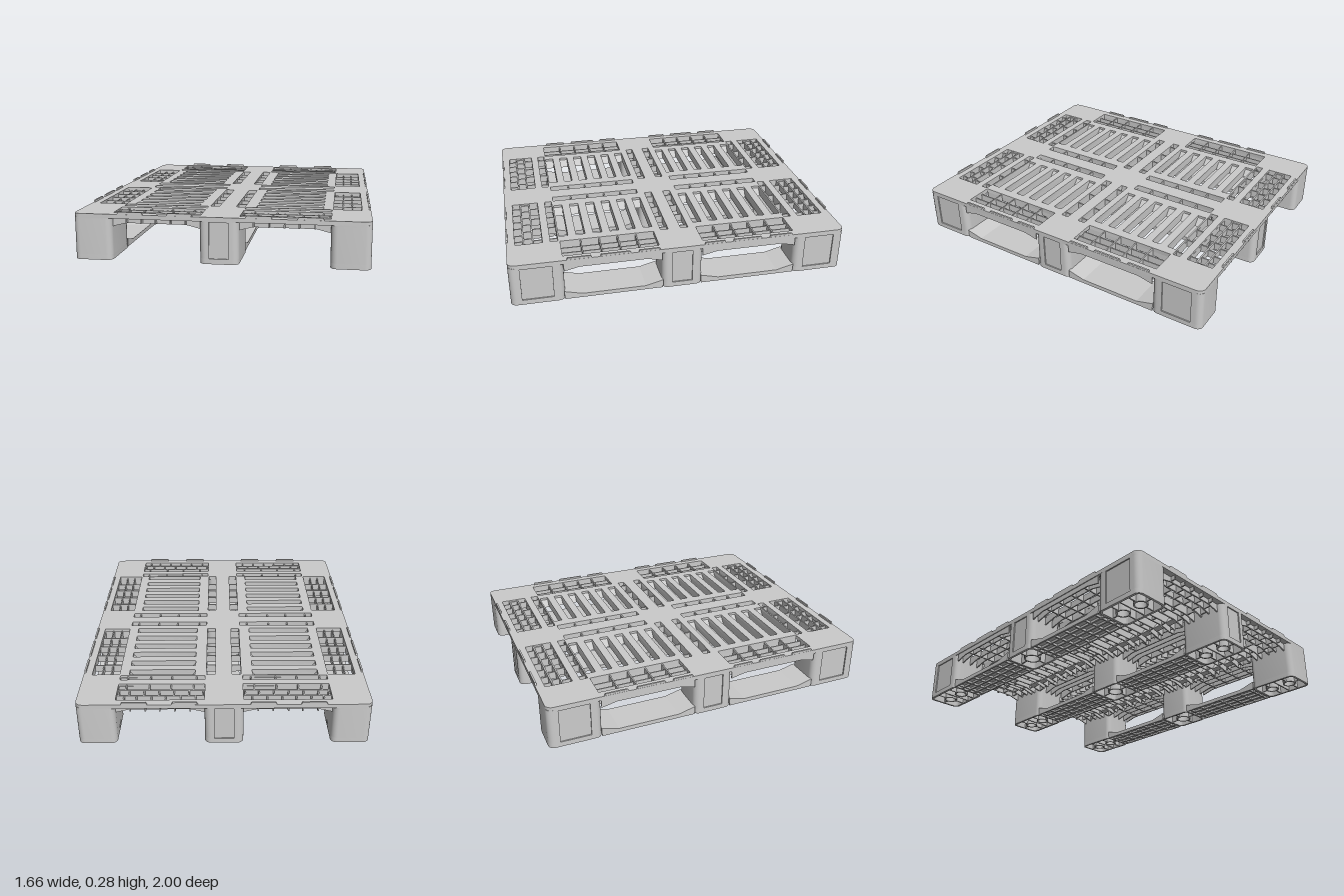
import * as THREE from 'three';
import { mergeGeometries, toCreasedNormals } from 'three/addons/utils/BufferGeometryUtils.js';

const material = new THREE.MeshStandardMaterial({ color: 0xcccccc });
const SIGNS = [-1, 1];
const BAY_X = 0.36, BAY_Z = 0.405;            // centres of the openings between the legs
const SLOTS = [0.155, 0.257, 0.358, 0.46, 0.562, 0.664];

// Box from its min and max corners
function box(x0, x1, y0, y1, z0, z1) {
  return new THREE.BoxGeometry(x1 - x0, y1 - y0, z1 - z0)
    .translate((x0 + x1) / 2, (y0 + y1) / 2, (z0 + z1) / 2).toNonIndexed();
}

// The same box in all four quadrants (or two when it straddles an axis)
function mirroredBox(list, x0, x1, y0, y1, z0, z1) {
  const cx = (x0 + x1) / 2, cz = (z0 + z1) / 2;
  for (const sx of Math.abs(cx) < 1e-6 ? [1] : SIGNS) {
    for (const sz of Math.abs(cz) < 1e-6 ? [1] : SIGNS) {
      list.push(box(x0, x1, y0, y1, z0, z1).translate((sx - 1) * cx, 0, (sz - 1) * cz));
    }
  }
}

// Rounded rectangle outline; notches gives the half width of a recess on the +x, +y, -x, -y sides
function outline(w, d, r, notches = [], depth = 0.007) {
  const pts = [];
  for (let k = 0; k < 4; k++) {
    const a = k * Math.PI / 2;
    const n = new THREE.Vector2(Math.round(Math.cos(a)), Math.round(Math.sin(a)));
    const t = new THREE.Vector2(-n.y, n.x);
    const h = (k % 2 ? d : w) / 2, s = (k % 2 ? w : d) / 2;
    const at = (u, v) => pts.push(n.clone().multiplyScalar(u).addScaledVector(t, v));
    const m = notches[k];
    if (m) { at(h, -m); at(h - depth, -m); at(h - depth, m); at(h, m); }
    for (let i = 0; i <= 6; i++) {
      const b = i / 6 * Math.PI / 2;
      at(h - r + r * Math.cos(b), s - r + r * Math.sin(b));
    }
  }
  return pts;
}

// Upright extrusion of a plan shape between two heights
function upright(shape, y0, y1) {
  const g = new THREE.ExtrudeGeometry(shape, { depth: y1 - y0, bevelEnabled: false, curveSegments: 10 });
  return toCreasedNormals(g.rotateX(-Math.PI / 2).translate(0, y0, 0), 0.6);
}

// Extrusion of a side profile, centred on its thickness
function slab(points, thickness) {
  const shape = new THREE.Shape(points.map(p => new THREE.Vector2(...p)));
  return new THREE.ExtrudeGeometry(shape, { depth: thickness, bevelEnabled: false })
    .translate(0, 0, -thickness / 2);
}

// Deck rib that deepens towards the legs at both ends
function haunchedRib(half, taper, thickness) {
  const a = half - taper;
  return slab([[-half, 0.19], [-a, 0.21], [a, 0.21], [half, 0.19], [half, 0.25], [-half, 0.25]], thickness);
}

function createDeck() {
  const shape = new THREE.Shape(outline(1.66, 2, 0.04));
  const cut = (x0, x1, z0, z1) => {
    for (const sx of SIGNS) for (const sz of SIGNS) {
      const c = new THREE.Vector2(sx * (x0 + x1) / 2, sz * (z0 + z1) / 2);
      shape.holes.push(new THREE.Path(outline(x1 - x0, z1 - z0, 0.005).map(p => p.add(c))));
    }
  };
  cut(0.11, 0.61, 0.79, 0.95);                // end lattice
  cut(0.11, 0.61, 0.70, 0.745);               // single rows
  cut(0.11, 0.61, 0.038, 0.085);
  cut(0.05, 0.103, 0.13, 0.69);               // middle strip
  cut(0.617, 0.78, 0.13, 0.69);               // side lattice
  for (const z of SLOTS) cut(0.17, 0.56, z - 0.027, z + 0.027);
  return [upright(shape, 0.24, 0.265)];
}

// Ribs running across and along under the deck
function createRibs() {
  const list = [];
  const across = [0.96, 0.787, 0.75, 0.697, 0.09, 0.033];
  for (const z of SLOTS) across.push(z - 0.031, z + 0.031);
  for (const sx of SIGNS) {
    for (const z of across) for (const sz of SIGNS) {
      list.push(haunchedRib(0.25, 0.08, 0.008).translate(sx * BAY_X, 0, sz * z));
    }
    list.push(haunchedRib(0.25, 0.08, 0.008).translate(sx * BAY_X, 0, 0));
    for (const z of [0.845, 0.9]) for (const sz of SIGNS) {
      list.push(haunchedRib(0.25, 0.08, 0.009).translate(sx * BAY_X, 0.01, sz * z));
    }
  }
  for (const x of [0, 0.046, 0.107, 0.613, 0.672, 0.726, 0.784, 0.822]) {
    for (const sx of x ? SIGNS : [1]) for (const sz of SIGNS) {
      list.push(haunchedRib(0.285, 0.09, 0.007).rotateY(Math.PI / 2).translate(sx * x, 0, sz * BAY_Z));
    }
  }
  return list.map(g => g.index ? g.toNonIndexed() : g);
}

// Small walls dividing the rows and strips into cells
function createDividers() {
  const list = [];
  const row = (xs, z0, z1) => {
    for (const x of xs) mirroredBox(list, x - 0.004, x + 0.004, 0.212, 0.257, z0, z1);
  };
  row([0.16, 0.245, 0.33, 0.41, 0.495, 0.565], 0.9, 0.96);
  row([0.12, 0.2, 0.285, 0.37, 0.455, 0.54, 0.6], 0.845, 0.9);
  row([0.175, 0.305, 0.43, 0.565], 0.787, 0.845);
  row([0.16, 0.305, 0.43, 0.565], 0.697, 0.75);
  row([0.16, 0.305, 0.43, 0.565], 0.033, 0.09);
  for (const z of [0.24, 0.35, 0.46, 0.57]) {
    mirroredBox(list, 0.613, 0.822, 0.212, 0.257, z - 0.004, z + 0.004);
    mirroredBox(list, 0.046, 0.107, 0.212, 0.257, z - 0.004, z + 0.004);
  }
  // stiffeners beneath the solid strips
  for (const x of [0.19, 0.275, 0.36, 0.44, 0.525]) {
    mirroredBox(list, x - 0.004, x + 0.004, 0.214, 0.242, 0.96, 0.99);
    mirroredBox(list, x - 0.004, x + 0.004, 0.214, 0.242, 0.75, 0.787);
    mirroredBox(list, x - 0.004, x + 0.004, 0.214, 0.242, 0, 0.033);
    for (let i = 0; i < 5; i++) {
      mirroredBox(list, x - 0.004, x + 0.004, 0.214, 0.242, SLOTS[i] + 0.031, SLOTS[i + 1] - 0.031);
    }
  }
  return list;
}

// Sloping ends inside the long slots
function createSlotEnds() {
  const list = [];
  for (const sx of SIGNS) for (const end of [0, Math.PI]) for (const z of SLOTS) for (const sz of SIGNS) {
    list.push(slab([[-0.195, 0.197], [-0.16, 0.207], [-0.195, 0.25]], 0.058)
      .rotateY(end).translate(sx * 0.365, 0, sz * z));
  }
  return list;
}

// Raised tabs along the rim
function createTabs() {
  const list = [];
  const tab = len => slab([[-len / 2, 0.264], [len / 2, 0.264], [len / 2 - 0.008, 0.279], [-len / 2 + 0.008, 0.279]], 0.01);
  for (const sx of SIGNS) for (const sz of SIGNS) {
    for (const x of [0.22, 0.502]) list.push(tab(0.148).translate(sx * x, 0, sz * 0.994));
    for (const [z, len] of [[0.195, 0.13], [0.392, 0.18], [0.6, 0.145]]) {
      list.push(tab(len).rotateY(Math.PI / 2).translate(sx * 0.824, -0.002, sz * z));
    }
  }
  return list;
}

// Hollow leg with recessed panels on its outward sides, braced inside by tubes and webs
function createLeg(ix, iz) {
  const w = 0.22, d = iz ? 0.31 : 0.24, r = 0.036, list = [];
  const panel = iz ? 0.09 : 0.06;
  const notches = [ix > 0 && panel, !ix && iz < 0 && 0.055, ix < 0 && panel, !ix && iz > 0 && 0.055];
  for (const [y0, y1, n] of [[0, 0.03, []], [0.03, 0.235, notches], [0.235, 0.245, []]]) {
    const shape = new THREE.Shape(outline(w, d, r, n));
    shape.holes.push(new THREE.Path(outline(w - 0.028, d - 0.028, r - 0.014)));
    list.push(upright(shape, y0, y1));
  }
  const centres = iz ? [-0.065, 0.065] : [0];
  const R = iz ? 0.042 : 0.052;
  for (const z of centres) {
    const ring = new THREE.Shape().absarc(0, 0, R, 0, Math.PI * 2);
    ring.holes.push(new THREE.Path().absarc(0, 0, R - 0.009, 0, Math.PI * 2));
    list.push(upright(ring, 0.002, 0.242).translate(0, 0, z));
    for (const s of SIGNS) {
      const x = s * (R + 0.1) / 2, hx = (0.1 - R) / 2;
      list.push(box(x - hx, x + hx, 0.005, 0.242, z - 0.004, z + 0.004));
    }
  }
  const reach = d / 2 - 0.01, edge = centres[centres.length - 1] + R - 0.002;
  for (const s of SIGNS) list.push(box(-0.004, 0.004, 0.005, 0.242, Math.min(s * edge, s * reach), Math.max(s * edge, s * reach)));
  if (iz) list.push(box(-0.1, 0.1, 0.005, 0.242, -0.004, 0.004));
  return list.map(g => g.translate(ix * 0.72, 0, iz * 0.845));
}

// Bottom runner between two legs, ribbed underneath
function createRunner(x, sz) {
  const list = [slab([[-0.29, 0.013], [0.29, 0.013], [0.29, 0.052], [0.185, 0.025], [-0.185, 0.025], [-0.29, 0.052]], 0.21)
    .rotateY(Math.PI / 2)];
  for (const u of [-0.1, -0.05, 0, 0.05, 0.1]) list.push(box(u - 0.005, u + 0.005, 0, 0.016, -0.288, 0.288));
  for (let i = -3; i <= 3; i++) list.push(box(-0.1, 0.1, 0, 0.016, i * 0.085 - 0.004, i * 0.085 + 0.004));
  return list.map(g => g.translate(x, 0, sz * BAY_Z));
}

export function createModel() {
  const group = new THREE.Group();
  group.name = 'pallet';
  const add = (name, list) => {
    const mesh = new THREE.Mesh(mergeGeometries(list), material);
    mesh.name = name;
    group.add(mesh);
  };
  add('deck', createDeck());
  add('deckRibs', createRibs());
  add('cellDividers', createDividers());
  add('slotEnds', createSlotEnds());
  add('rimTabs', createTabs());
  for (const ix of [-1, 0, 1]) {
    for (const iz of [-1, 0, 1]) add('leg', createLeg(ix, iz));
    for (const sz of SIGNS) add('runner', createRunner(ix * 0.72, sz));
  }
  return group;
}
